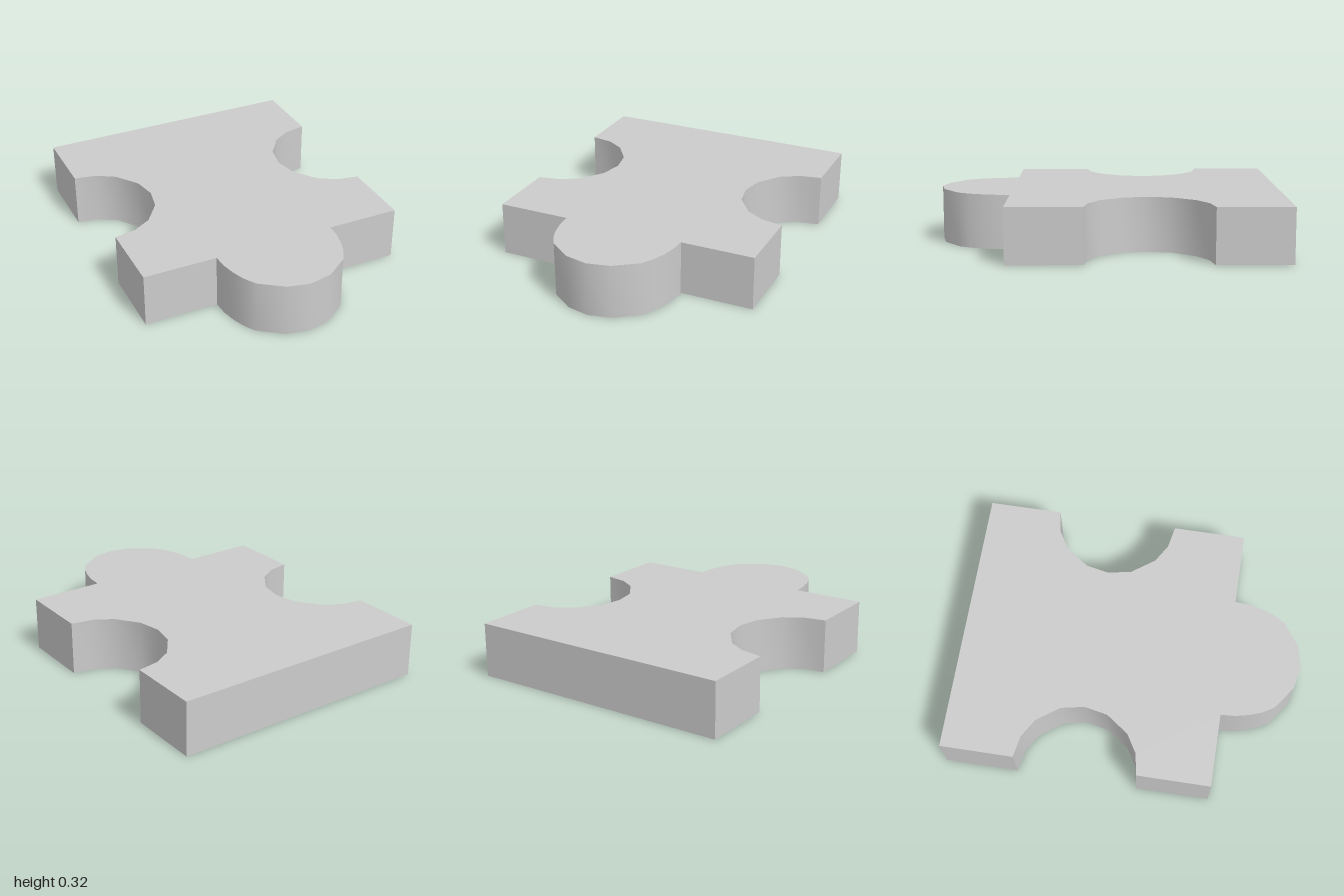
import * as THREE from 'three';
import { toCreasedNormals } from 'three/addons/utils/BufferGeometryUtils.js';

const HALF_WIDTH = 0.787, HEIGHT = 0.317, BACK = -1, SHOULDER = 0.57;
const NOTCH_Z = -0.215, NOTCH_R = 0.357;

// Outline of the +x half as [x, z], from the back edge to the front tab
function halfOutline() {
  const points = [[HALF_WIDTH, BACK]];

  // Round notch bitten into the side
  for (const degrees of [-90, -69, -49, -22.5, 0, 22.5, 49, 69, 90]) {
    const a = THREE.MathUtils.degToRad(degrees);
    points.push([HALF_WIDTH - NOTCH_R * Math.cos(a), NOTCH_Z + NOTCH_R * Math.sin(a)]);
  }

  // Front shoulder and rounded tab
  points.push([HALF_WIDTH, SHOULDER], [0.357, SHOULDER], [0.352, 0.653], [0.334, 0.733],
    [0.307, 0.807], [0.265, 0.876], [0.132, 0.971]);
  return points;
}

export function createModel() {
  const group = new THREE.Group();
  group.name = 'puzzlePiece';

  // Mirror the half outline around the tip of the tab
  const half = halfOutline();
  const mirrored = half.map(([x, z]) => [-x, z]).reverse();
  const outline = [...half, [0, 1], ...mirrored].map(([x, z]) => new THREE.Vector2(x, z));

  // Extrude and lay flat, with smooth curves and sharp corners
  const slab = new THREE.ExtrudeGeometry(new THREE.Shape(outline), { depth: HEIGHT, bevelEnabled: false });
  slab.rotateX(Math.PI / 2).translate(0, HEIGHT, 0);

  const mesh = new THREE.Mesh(
    toCreasedNormals(slab, THREE.MathUtils.degToRad(40)),
    new THREE.MeshStandardMaterial({ color: 0xcccccc })
  );
  mesh.name = 'puzzleSlab';
  group.add(mesh);
  return group;
}
